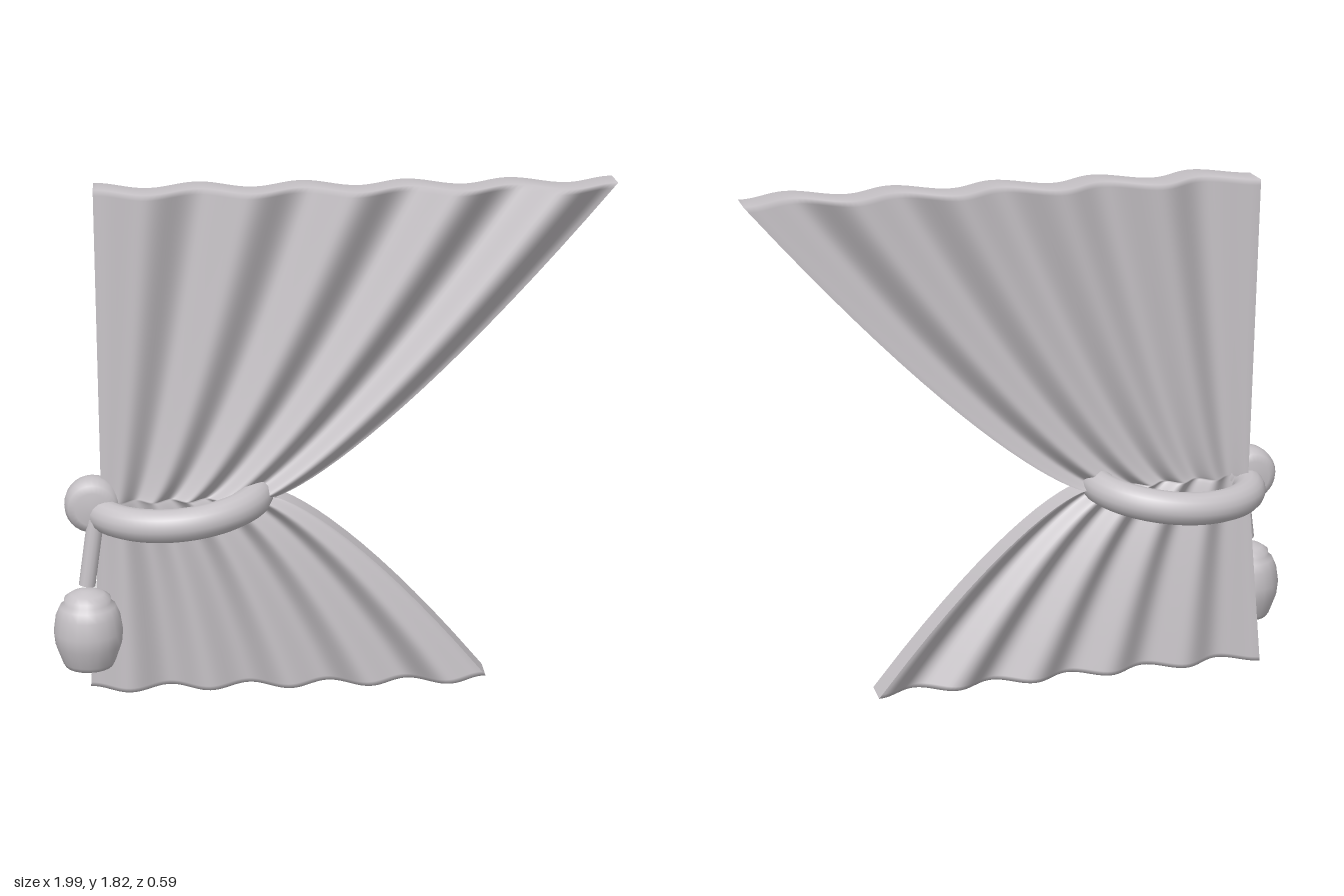
import * as THREE from 'three';

const fabric = new THREE.MeshStandardMaterial({ color: 0xc6c2c6 });
fabric.name = 'pale grey fabric';

const WAIST = 0.71, TOP = 1.82, FOLDS = 5, N = 100;
const mix = THREE.MathUtils.lerp;

// Outline and fold depth of the curtain at height y
function section(y) {
  const upper = y >= WAIST;
  const t = upper ? (y - WAIST) / (TOP - WAIST) : (WAIST - y) / WAIST;
  return {
    left: upper ? -0.82 : mix(-0.82, -0.875, t),
    right: upper ? -0.21 + 1.2 * t ** 0.78 : -0.21 + 0.77 * t ** 0.74,
    amp: mix(0.02, upper ? 0.05 : 0.035, t),
    half: mix(0.05, upper ? 0.062 : 0.055, t),
    mid: mix(0.02, 0.014, t),
  };
}

// Pleated cloth as stacked closed cross-sections, gathered at the waist
function curtainGeometry() {
  const heights = [0, 0.015];
  for (let i = 1; i <= 14; i++) heights.push(WAIST - 0.69 * (1 - i / 14) ** 2 * 0.97);
  for (let i = 1; i <= 20; i++) heights.push(WAIST + (TOP - WAIST - 0.02) * (i / 20) ** 2);
  heights.push(TOP);

  const pos = [], idx = [], cols = 2 * N + 6, back = N + 3;
  for (const y of heights) {
    const s = section(y);
    const put = (u, side) => pos.push(
      mix(s.left, s.right, u), y,
      s.mid + side * s.half - s.amp * Math.cos(2 * Math.PI * FOLDS * u));
    for (let i = 0; i <= N; i++) put(i / N, 1);
    put(1, 1); put(1, -1);
    for (let i = N; i >= 0; i--) put(i / N, -1);
    put(0, -1); put(0, 1);
  }
  // Walls; doubled corner columns keep the side edges sharp
  const seams = [N, N + 2, 2 * N + 3];
  for (let r = 0; r < heights.length - 1; r++)
    for (let c = 0; c < cols - 1; c++) {
      if (seams.includes(c)) continue;
      const a = r * cols + c, d = a + cols;
      idx.push(a, a + 1, d + 1, a, d + 1, d);
    }
  // Top and bottom edges of the cloth
  const last = (heights.length - 1) * cols;
  for (let i = 0; i < N; i++) {
    const f = i, g = i + 1, b = back + N - i, h = b - 1;
    idx.push(last + f, last + g, last + h, last + f, last + h, last + b);
    idx.push(f, h, g, f, b, h);
  }
  const geo = new THREE.BufferGeometry();
  geo.setAttribute('position', new THREE.Float32BufferAttribute(pos, 3));
  geo.setIndex(idx);
  geo.computeVertexNormals();
  return geo;
}

// Smooth turned part from a few radius/height points
function turned(points, segments) {
  return new THREE.LatheGeometry(points.map(([r, y]) => new THREE.Vector2(r, y)), segments);
}

export function createModel() {
  const model = new THREE.Group();
  model.name = 'tiedCurtain';
  const add = (name, geo) => {
    const mesh = new THREE.Mesh(geo, fabric);
    mesh.name = name;
    model.add(mesh);
    return mesh;
  };

  add('curtain', curtainGeometry());

  // Oval rope around the waist, slightly lifted at its outer end
  const loop = [];
  for (let i = 0; i < 32; i++) {
    const a = (i / 32) * Math.PI * 2;
    loop.push(new THREE.Vector3(
      -0.548 + 0.283 * Math.cos(a),
      0.685 + 0.022 * Math.cos(a) + 0.008 * Math.cos(2 * a),
      0.235 * Math.sin(a)));
  }
  add('tiebackRope', new THREE.TubeGeometry(new THREE.CatmullRomCurve3(loop, true), 72, 0.059, 16, true));

  // Rounded knob, its axis pointing forward
  const knob = add('knob', turned([
    [0, -0.073], [0.06, -0.072], [0.085, -0.06], [0.098, -0.03],
    [0.1, 0], [0.098, 0.03], [0.085, 0.06], [0.06, 0.072], [0, 0.073],
  ], 28));
  knob.rotation.x = Math.PI / 2;
  knob.position.set(-0.85, 0.7, 0.047);

  // Slanted cord hanging from the knob
  const from = new THREE.Vector3(-0.84, 0.66, 0.1), to = new THREE.Vector3(-0.876, 0.42, 0.115);
  const dir = from.clone().sub(to);
  const cord = add('tasselCord', new THREE.CylinderGeometry(0.03, 0.03, dir.length(), 14));
  cord.position.copy(from).add(to).multiplyScalar(0.5);
  cord.quaternion.setFromUnitVectors(new THREE.Vector3(0, 1, 0), dir.normalize());

  // Tassel with a small cap above a barrel-shaped body
  const tassel = add('tassel', turned([
    [0, 0.115], [0.085, 0.118], [0.095, 0.135], [0.118, 0.2], [0.123, 0.25],
    [0.114, 0.31], [0.1, 0.342], [0.083, 0.355], [0.083, 0.372],
    [0.06, 0.388], [0.025, 0.4], [0, 0.401],
  ], 20));
  tassel.position.set(-0.876, 0, 0.112);

  return model;
}
